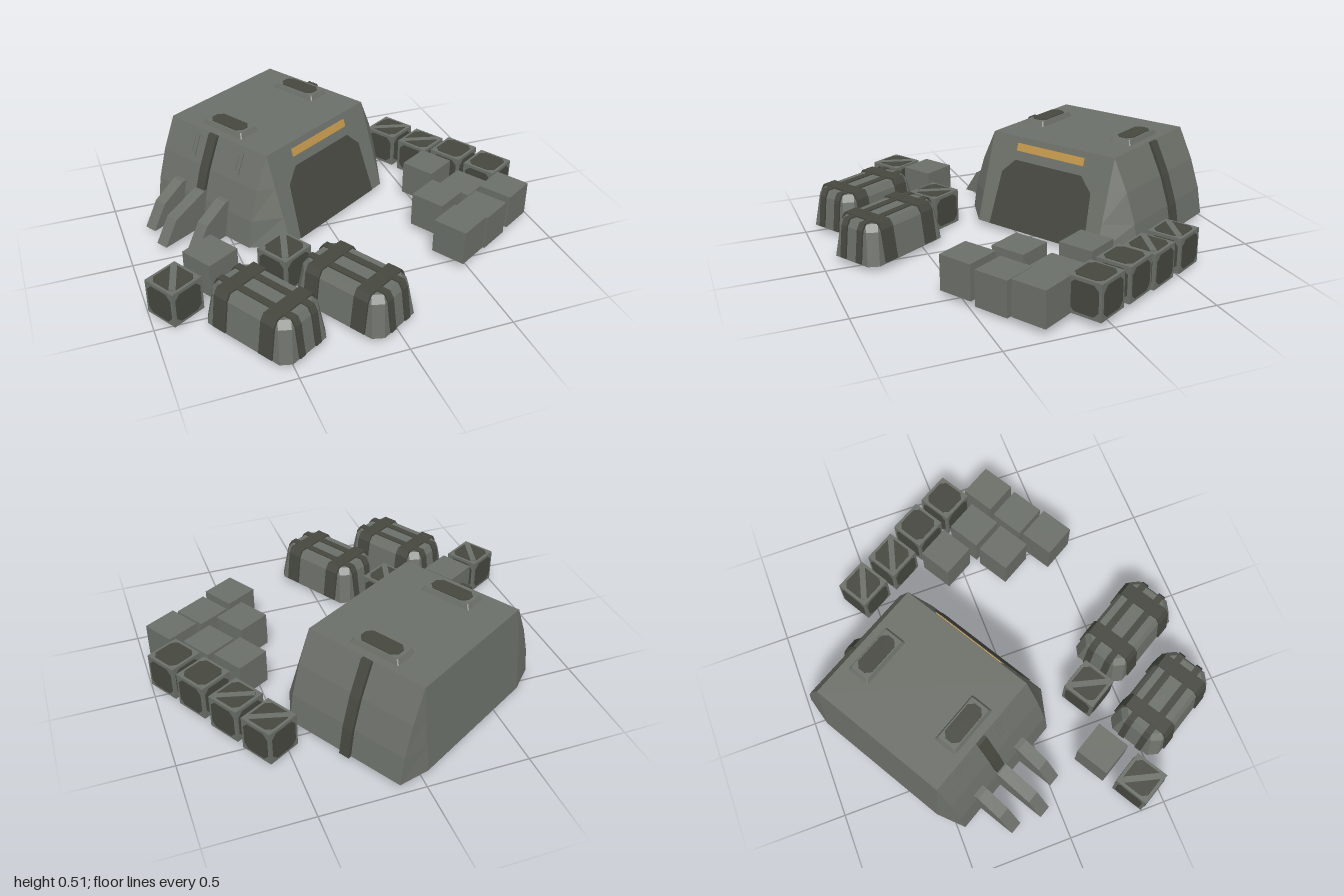
import * as THREE from 'three';

const wall = new THREE.MeshStandardMaterial({ color: 0x6c7069, side: THREE.DoubleSide });
wall.name = 'greyPlating';
const dark = new THREE.MeshStandardMaterial({ color: 0x464840 });
dark.name = 'darkPanel';
const amber = new THREE.MeshStandardMaterial({ color: 0xc2974a });
amber.name = 'amberLight';

const TILT = Math.PI / 6;

function add(parent, name, geo, mat, x = 0, y = 0, z = 0) {
  const m = new THREE.Mesh(geo, mat);
  m.name = name;
  m.position.set(x, y, z);
  parent.add(m);
  return m;
}

function site(root, name, x, y, z) {
  const g = new THREE.Group();
  g.name = name;
  g.position.set(x, y, z);
  g.rotation.y = TILT;
  root.add(g);
  return g;
}

// Flat-faced skin through stacked rings of [x, z] points
function loft(rings, ys, capBottom) {
  const v = [];
  const tri = (...p) => p.forEach((q) => v.push(...q));
  const at = (k, i) => {
    const p = rings[k][i % rings[k].length];
    return [p[0], ys[k], p[1]];
  };
  const n = rings[0].length, last = rings.length - 1;
  for (let i = 0; i < n; i++) {
    for (let k = 0; k < last; k++) {
      tri(at(k, i), at(k + 1, i), at(k, i + 1));
      tri(at(k, i + 1), at(k + 1, i), at(k + 1, i + 1));
    }
    tri([0, ys[last], 0], at(last, i + 1), at(last, i));
    if (capBottom) tri([0, ys[0], 0], at(0, i), at(0, i + 1));
  }
  const g = new THREE.BufferGeometry();
  g.setAttribute('position', new THREE.Float32BufferAttribute(v, 3));
  g.computeVertexNormals();
  return g;
}

// Rectangle with cut corners, as [x, z] points
function cutRect(hx, hz, c) {
  return [[hx, hz - c], [hx - c, hz], [c - hx, hz], [-hx, hz - c],
    [-hx, c - hz], [c - hx, -hz], [hx - c, -hz], [hx, c - hz]];
}

// Prism from an outline, centred on its depth
function prism(points, depth) {
  const s = new THREE.Shape(points.map((p) => new THREE.Vector2(p[0], p[1])));
  const g = new THREE.ExtrudeGeometry(s, { depth, bevelEnabled: false });
  g.translate(0, 0, -depth / 2);
  return g;
}

// Shelter shell: rectangular roof flaring to an eight-sided base
const RX = 0.365, RZ = 0.323;
const FLARE = [[0.149, 0.03], [0.125, 0.17], [0.075, 0.32], [0, 0.48]];

function buildShelter(root) {
  const g = site(root, 'shelter', -0.164, 0, -0.442);
  const rings = FLARE.map(([s, y]) => {
    const t = (0.48 - y) / 0.45, f = RZ + 0.142 * t, b = -RZ - 0.04 * t;
    return [[RX + s, RZ], [RX, f], [-RX, f], [-RX - s, RZ],
      [-RX - s, -RZ], [-RX, b], [RX, b], [RX + s, -RZ]];
  });
  add(g, 'shell', loft(rings, FLARE.map((p) => p[1]), false), wall);

  // Door and light strip lie on the sloping front
  const front = new THREE.Group();
  front.name = 'frontPanel';
  front.position.set(0, 0.03, RZ + 0.142);
  front.rotation.x = -Math.atan(0.142 / 0.45);
  g.add(front);
  add(front, 'door', prism([[-0.29, 0], [0.29, 0], [0.27, 0.28], [0.2, 0.352], [-0.2, 0.352], [-0.27, 0.28]], 0.008), dark);
  add(front, 'lightStrip', new THREE.BoxGeometry(0.404, 0.04, 0.008), amber, 0, 0.42, 0);

  // Ribs down both flanks
  for (const side of [-1, 1]) {
    const line = (d) => FLARE.map(([s, y]) => [side * (RX + s + d), y]);
    add(g, 'sideRib', prism([...line(0.018), ...line(0.001).reverse()], 0.055), dark, 0, 0, -0.02);
  }

  // Raised side hatches
  for (const z of [-0.17, 0.13]) {
    const h = add(g, 'sideHatch', new THREE.BoxGeometry(0.012, 0.11, 0.12), wall, -RX - 0.037, 0.402, z);
    h.rotation.z = -Math.atan(0.075 / 0.16);
    const pane = add(h, 'sideHatchPane', new THREE.BoxGeometry(0.006, 0.075, 0.08), wall, -0.007, 0, 0);
    pane.rotation.z = 0;
  }

  // Buttresses, the middle one longest
  [-0.17, -0.02, 0.133].forEach((z, i) => {
    const e = i === 1 ? 0.06 : 0;
    const p = [[-0.46, 0.03], [-0.46, 0.22], [-0.5, 0.22], [-0.63 - e, 0.15], [-0.71 - e, 0.03]];
    add(g, 'buttress', prism(p, 0.065), wall, 0, 0, z);
  });

  // Roof hatches
  for (const x of [-0.265, 0.265]) {
    const rings2 = [cutRect(0.06, 0.135, 0.005), cutRect(0.05, 0.122, 0.005)];
    add(g, 'roofHatch', loft(rings2, [0.48, 0.505], false), wall, x, 0, -0.015);
    const pane = [cutRect(0.043, 0.105, 0.025), cutRect(0.043, 0.105, 0.025)];
    add(g, 'roofHatchPane', loft(pane, [0.504, 0.509], false), dark, x, 0, -0.015);
  }
}

// Strapped cargo containers
function buildContainer(root, x, z) {
  const g = site(root, 'container', x, 0, z);
  const steps = [[0, 0.03], [0.022, 0.19], [0.042, 0.222]];
  const rings = steps.map(([d]) => cutRect(0.148 - d, 0.25 - d, 0.04));
  add(g, 'containerBody', loft(rings, steps.map((p) => p[1]), true), wall);
  const strap = (half) => {
    const right = steps.map(([d, y]) => [half - d + 0.008, y + 0.008]);
    return [...right, ...right.map(([a, b]) => [-a, b]).reverse()];
  };
  for (const s of [-1, 1]) {
    add(g, 'crossStrap', prism(strap(0.148), 0.075), dark, 0, 0, s * 0.135);
    const long = add(g, 'longStrap', prism(strap(0.25), 0.035), dark, s * 0.052, -0.002, 0);
    long.rotation.y = Math.PI / 2;
  }
}

// Small crates: 0 plain, 1 panelled, 2 and 3 panelled with a diagonal brace on top
const S = 0.176;
function buildCrate(root, x, y, z, kind) {
  const g = site(root, 'crate', x, y + S / 2, z);
  add(g, 'crateBody', new THREE.BoxGeometry(S, S, S), wall);
  if (!kind) return;
  const panel = prism(cutRect(0.073, 0.073, 0.024), 0.006);
  for (let i = 0; i < 4; i++) {
    const a = i * Math.PI / 2;
    const m = add(g, 'cratePanel', panel, dark, Math.sin(a) * S / 2, 0, Math.cos(a) * S / 2);
    m.rotation.y = a;
  }
  const top = add(g, 'crateTopPanel', panel, dark, 0, S / 2, 0);
  top.rotation.x = -Math.PI / 2;
  if (kind > 1) {
    const b = add(g, 'crateBrace', new THREE.BoxGeometry(0.18, 0.004, 0.03), wall, 0, S / 2 + 0.003, 0);
    b.rotation.y = (kind === 2 ? -1 : 1) * Math.PI / 4;
  }
}

export function createModel() {
  const root = new THREE.Group();
  root.name = 'fieldShelter';
  buildShelter(root);
  buildContainer(root, -0.54, 0.674);
  buildContainer(root, -0.12, 0.658);
  const crates = [
    [0.57, 0.012, -0.53, 2], [0.672, 0.012, -0.338, 2], [0.78, 0.032, -0.155, 1], [0.88, 0.032, 0.032, 1],
    [0.58, 0.036, -0.07, 0], [0.69, 0, 0.128, 0], [0.497, 0.036, 0.22, 0], [0.668, 0.018, 0.364, 0],
    [0.497, 0.036, 0.465, 0], [0.845, 0.036, 0.267, 0],
    [-0.878, 0.012, 0.406, 3], [-0.68, 0.03, 0.284, 0], [-0.348, 0.012, 0.353, 3],
  ];
  for (const c of crates) buildCrate(root, ...c);
  return root;
}
